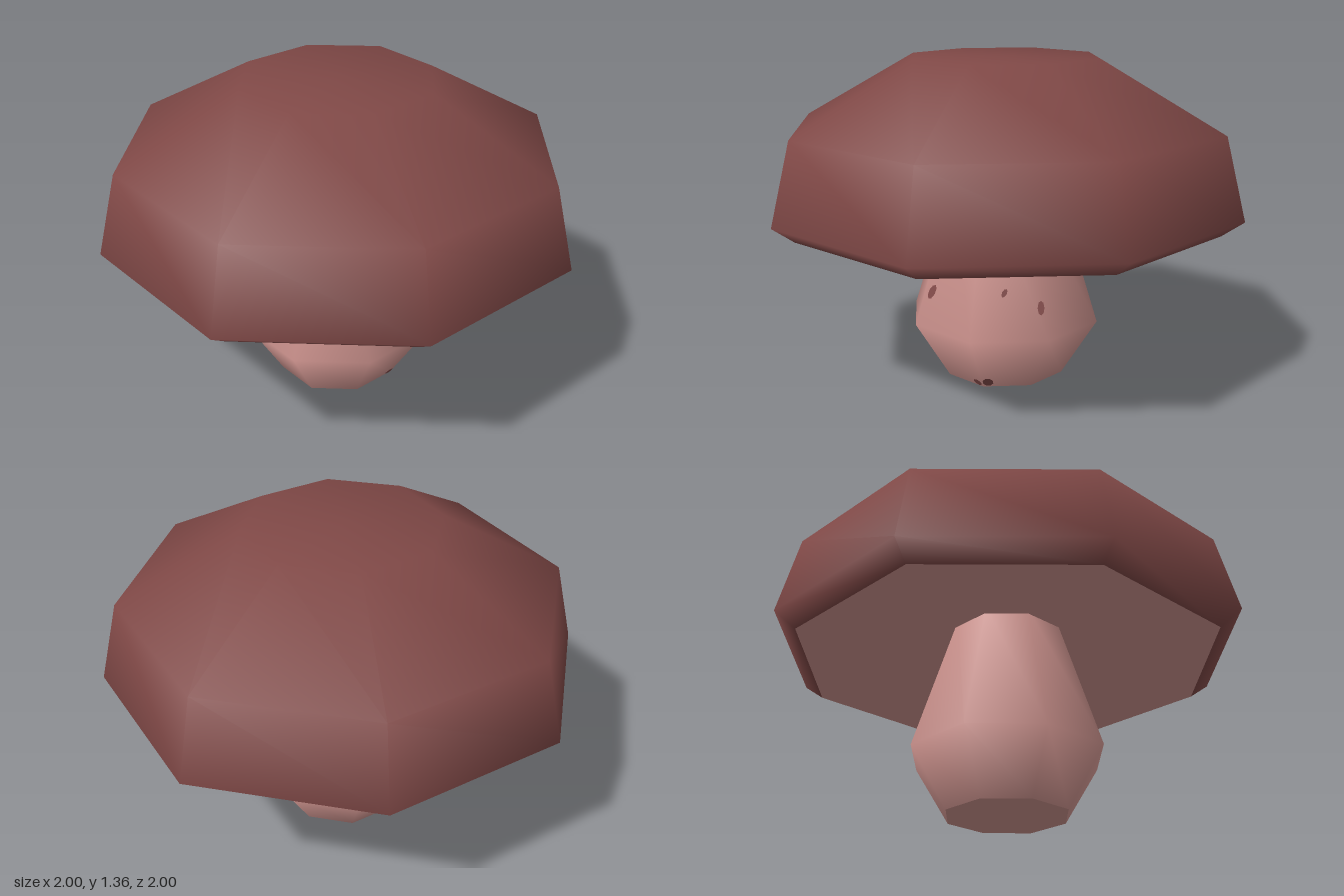
import * as THREE from 'three';

const SIDES = 8;

function material(name, color) {
  const m = new THREE.MeshStandardMaterial({ color });
  m.name = name;
  return m;
}

// Eight-sided turned shape whose diagonal corners stand out very slightly
function lathe(points) {
  const geometry = new THREE.LatheGeometry(points.map(([r, y]) => new THREE.Vector2(r, y)), SIDES);
  const pos = geometry.attributes.position;
  for (let i = 0; i < pos.count; i++) {
    const x = pos.getX(i), z = pos.getZ(i);
    const s = Math.abs(Math.abs(x) - Math.abs(z)) < 1e-4 ? 1.011 : 1;
    pos.setXYZ(i, x * s, pos.getY(i), z * s);
  }
  return geometry;
}

export function createModel() {
  const group = new THREE.Group();
  group.name = 'mushroom';
  const capRed = material('cap red', 0x7f4846);
  const stemPink = material('stem pink', 0xd09590);

  const add = (name, geometry, mat) => {
    const mesh = new THREE.Mesh(geometry, mat);
    mesh.name = name;
    group.add(mesh);
  };

  // Cap with a bevelled rim and a flat crown
  add('cap', lathe([[0.91, 0.67], [1, 0.735], [0.915, 1.075], [0.405, 1.36], [0, 1.36]]), capRed);

  // Shallow hollow underside, the same pink as the stem
  add('capUnderside', lathe([[0, 0.85], [0.91, 0.67]]), stemPink);

  // Bulging stem, running up into the underside
  add('stem', lathe([[0.26, 0], [0.413, 0.25], [0.225, 0.84]]), stemPink);
  add('stemBase', lathe([[0, 0], [0.26, 0]]), stemPink);

  // Painted flecks: [facet, sideways offset, height, half width, half height, tilt]
  const flecks = [
    [0, -0.096, 0.4, 0.018, 0.034, -0.4],
    [0, 0.073, 0.55, 0.013, 0.018, 0],
    [0, 0.08, 0.018, 0.021, 0.018, 0],
    [1, -0.017, 0.44, 0.01, 0.019, -0.5],
    [1, 0.13, 0.38, 0.014, 0.03, 0],
    [1, -0.082, 0.026, 0.022, 0.026, 0.5],
  ];
  const halfFacet = Math.PI / SIDES;
  flecks.forEach(([facet, offset, y, w, h, tilt]) => {
    const slope = y < 0.25 ? 0.153 / 0.25 : -0.188 / 0.59;
    const radius = 0.413 + slope * (y - 0.25);
    const geometry = new THREE.CircleGeometry(1, 8)
      .scale(w, h, 1)
      .rotateZ(tilt)
      .rotateX(Math.atan(slope))
      .translate(offset, y, radius * Math.cos(halfFacet) + 0.005)
      .rotateY((2 * facet + 1) * halfFacet);
    add('stemFleck', geometry, capRed);
  });

  return group;
}
